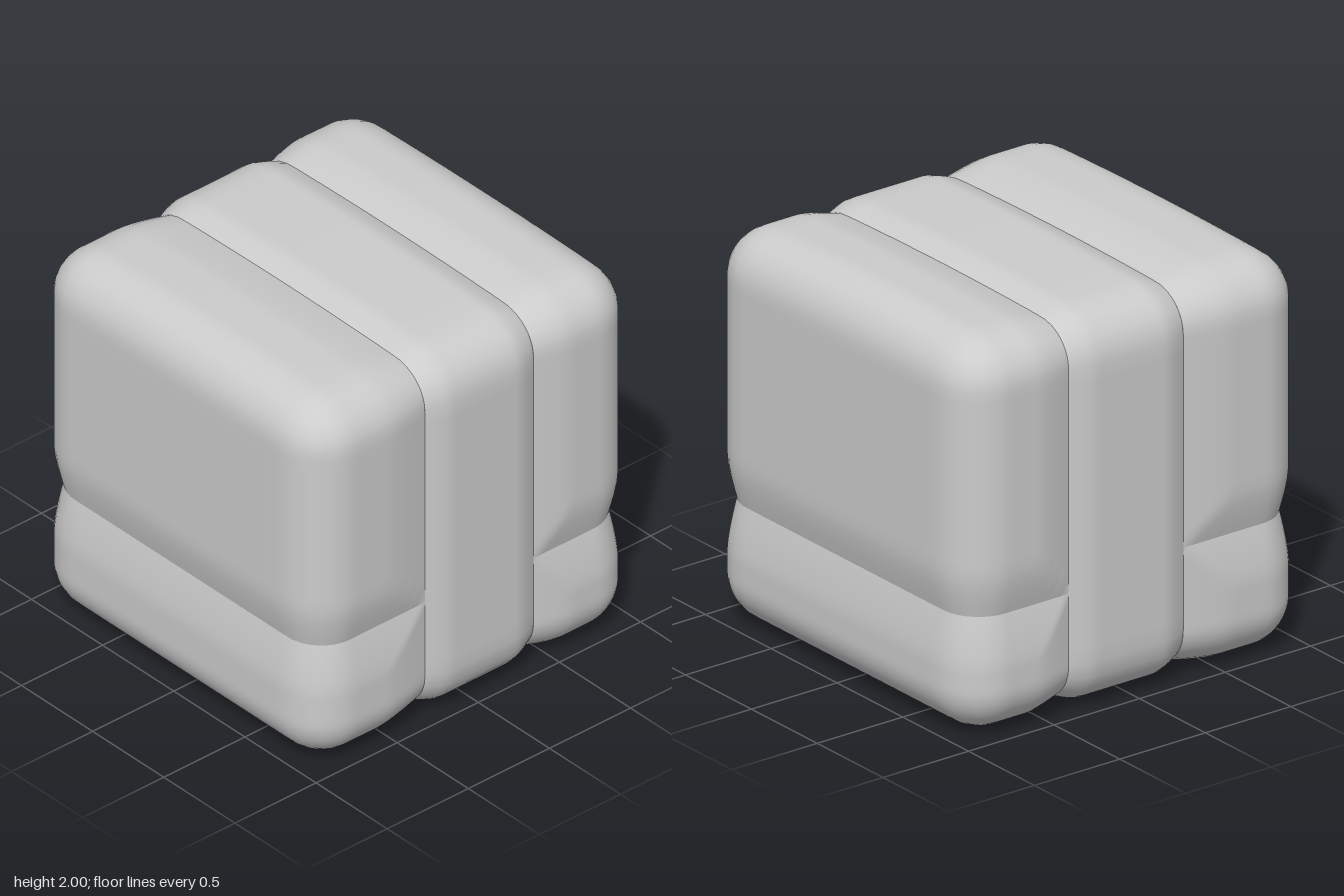
import * as THREE from 'three';
import { mergeVertices, toCreasedNormals } from 'three/addons/utils/BufferGeometryUtils.js';

const material = new THREE.MeshStandardMaterial({ color: 0xcccccc });
const RADIUS = 0.25, CORE = 1 - RADIUS, DEPTH = 0.045;
const FRONT = 0.29, BACK = -0.38; // z of the two slab seams
const FRONT_SPLIT = -0.33, BACK_SPLIT = -0.385; // y of the horizontal seams
const clamp = THREE.MathUtils.clamp;

// How far the surface sinks at distance d from a seam
const sink = (d, width) => DEPTH * Math.pow(1 - Math.min(d / width, 1), 1.4);

// A block of the 2-unit cube: outer edges rounded, edges along seams sunk into a groove
function block(name, yMin, yMax, zMin, zMax, grooveWidth) {
  const g = new THREE.BoxGeometry(2, yMax - yMin, zMax - zMin, 28, 24, 24);
  g.translate(0, (yMin + yMax) / 2, (zMin + zMax) / 2);
  const pos = g.attributes.position;
  const p = new THREE.Vector3(), q = new THREE.Vector3(), d = new THREE.Vector3();
  for (let i = 0; i < pos.count; i++) {
    p.fromBufferAttribute(pos, i);
    let inset = 0;
    if (zMin > -1) inset = Math.max(inset, sink(p.z - zMin, grooveWidth));
    if (zMax < 1) inset = Math.max(inset, sink(zMax - p.z, grooveWidth));
    if (yMin > -1) inset = Math.max(inset, sink(p.y - yMin, 0.22));
    if (yMax < 1) inset = Math.max(inset, sink(yMax - p.y, 0.26));
    q.set(clamp(p.x, -CORE, CORE), clamp(p.y, -CORE, CORE), clamp(p.z, -CORE, CORE));
    d.subVectors(p, q);
    const m = Math.max(Math.abs(d.x), Math.abs(d.y), Math.abs(d.z)) / RADIUS;
    p.copy(q).addScaledVector(d.normalize(), m * (RADIUS - inset));
    // slightly domed top
    if (p.y > CORE) p.y -= 0.025 * p.x * p.x * (p.y - CORE) / RADIUS;
    pos.setXYZ(i, p.x, p.y + 1, p.z);
  }
  g.deleteAttribute('normal');
  g.deleteAttribute('uv');
  const mesh = new THREE.Mesh(toCreasedNormals(mergeVertices(g), 0.7), material);
  mesh.name = name;
  return mesh;
}

export function createModel() {
  const group = new THREE.Group();
  group.name = 'blockCube';
  group.add(
    block('frontUpperBlock', FRONT_SPLIT, 1, FRONT, 1, 0.26),
    block('frontLowerBlock', -1, FRONT_SPLIT, FRONT, 1, 0.26),
    block('middleSlab', -1, 1, BACK, FRONT, 0.13),
    block('backUpperBlock', BACK_SPLIT, 1, -1, BACK, 0.2),
    block('backLowerBlock', -1, BACK_SPLIT, -1, BACK, 0.2),
  );
  return group;
}
